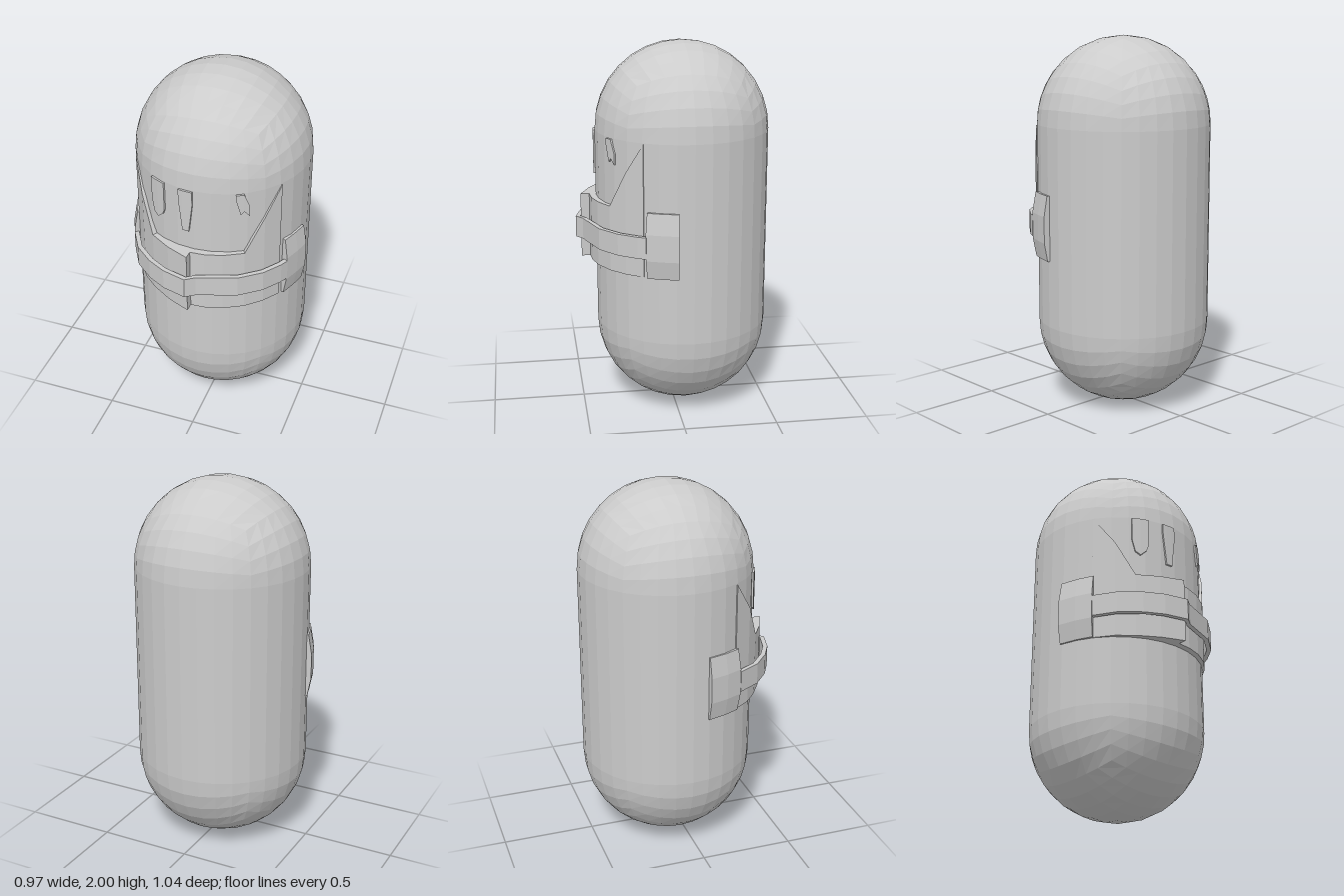
import * as THREE from 'three';

const R = 0.465, CX = -0.005, CZ = -0.055;
const material = new THREE.MeshStandardMaterial({ color: 0xcccccc, flatShading: true });

// A point pushed outward from the body's axis by d
function outward(x, z, d, y) {
  const l = Math.hypot(x - CX, z - CZ);
  return [x + (x - CX) / l * d, y, z + (z - CZ) / l * d];
}

// Closed solid through sections that run from -x past the front to +x
// Each section is a loop: bottom inside, bottom outside, ..., top inside
function loft(name, sections) {
  const n = sections[0].length, pos = sections.flat(2), index = [];
  for (let i = 0; i < sections.length - 1; i++) {
    for (let k = 0; k < n; k++) {
      const j = (k + 1) % n, a = i * n, b = a + n;
      index.push(a + k, b + k, b + j, a + k, b + j, a + j);
    }
  }
  const e = (sections.length - 1) * n;
  for (let k = 1; k < n - 1; k++) {
    index.push(0, k, k + 1, e, e + k + 1, e + k);
  }
  const g = new THREE.BufferGeometry();
  g.setAttribute('position', new THREE.Float32BufferAttribute(pos, 3));
  g.setIndex(index);
  g.computeVertexNormals();
  const mesh = new THREE.Mesh(g, material);
  mesh.name = name;
  return mesh;
}

// Section with a [offset, y] profile at one spot of a path
const section = (x, z, profile) => profile.map(([d, y]) => outward(x, z, d, y));

// Capsule with caps made from a cube bent into a sphere
function makeBody() {
  const g = new THREE.BoxGeometry(1, 1, 1, 8, 9, 8);
  const p = g.attributes.position, v = new THREE.Vector3();
  const bend = (t) => Math.tan(t * Math.PI / 4);
  for (let i = 0; i < p.count; i++) {
    const level = Math.round((p.getY(i) + 0.5) * 9);
    const upper = level >= 5;
    const t = -1 + (upper ? level - 1 : level) / 4;
    v.set(bend(p.getX(i) * 2), bend(t), bend(p.getZ(i) * 2)).setLength(R);
    p.setXYZ(i, v.x + CX, v.y + (upper ? 2 - R : 0.005 + R), v.z + CZ);
  }
  g.computeVertexNormals();
  const mesh = new THREE.Mesh(g, material);
  mesh.name = 'body';
  return mesh;
}

// Wrap panel: columns of [x, z, top height], reaching back into the body
function makePanel(name, columns) {
  return loft(name, columns.map(([x, z, top]) => {
    const inner = R - 0.03 - Math.hypot(x - CX, z - CZ);
    return section(x, z, [[inner, 0.83], [0, 0.83], [0, top], [inner, top]]);
  }));
}

// Thin strand on the face: columns of [x, bottom, top]
function makeStrand(name, columns) {
  return loft(name, columns.map(([x, low, top]) => {
    const z = CZ + Math.sqrt(R * R - (x - CX) ** 2);
    return section(x, z, [[-0.02, low], [0.009, low], [0.009, top], [-0.02, top]]);
  }));
}

export function createModel() {
  const group = new THREE.Group();
  group.name = 'wrappedCapsule';
  group.add(makeBody());

  // Two overlapping wrap panels, rising at the sides around the face
  group.add(makePanel('rightPanel', [
    [-0.4, 0.2, 1.53], [-0.33, 0.3, 1.37], [-0.25, 0.37, 1.18], [-0.14, 0.44, 1.18], [-0.018, 0.492, 1.18],
  ]));
  group.add(makePanel('leftPanel', [
    [-0.02, 0.445, 1.18], [0.06, 0.44, 1.18], [0.15, 0.415, 1.18], [0.25, 0.36, 1.18], [0.33, 0.285, 1.37], [0.39, 0.2, 1.53],
  ]));

  // Strap around the front
  const strapPath = [
    [-0.4, 0.21], [-0.335, 0.325], [-0.24, 0.408], [-0.145, 0.461], [-0.022, 0.495],
    [0.025, 0.46], [0.22, 0.393], [0.325, 0.31], [0.39, 0.22], [0.41, 0.18],
  ];
  const strapProfile = [[0, 0.94], [0.025, 0.94], [0.025, 1.055], [0, 1.055]];
  group.add(loft('strap', strapPath.map(([x, z]) => section(x, z, strapProfile))));

  // Bulging pads at the ends of the strap
  const padProfile = [[-0.02, 0.83], [0.006, 0.83], [0.025, 0.93], [0.025, 1.07], [0.006, 1.18], [-0.02, 1.18]];
  const rightPad = [[-0.465, 0.03], [-0.437, 0.125], [-0.4, 0.208]];
  const leftPad = [[0.407, 0.182], [0.438, 0.1], [0.46, 0.025]];
  group.add(loft('rightPad', rightPad.map(([x, z]) => section(x, z, padProfile))));
  group.add(loft('leftPad', leftPad.map(([x, z]) => section(x, z, padProfile))));

  // Strands hanging over the face
  group.add(makeStrand('outerRightStrand', [[-0.25, 1.4, 1.53], [-0.235, 1.33, 1.53], [-0.21, 1.31, 1.53], [-0.18, 1.34, 1.53], [-0.17, 1.37, 1.53]]));
  group.add(makeStrand('middleStrand', [[-0.085, 1.47, 1.53], [-0.065, 1.29, 1.53], [-0.03, 1.29, 1.53], [-0.01, 1.45, 1.53]]));
  group.add(makeStrand('leftStrand', [[0.2, 1.5, 1.53], [0.222, 1.41, 1.53], [0.237, 1.43, 1.53], [0.26, 1.4, 1.46]]));
  return group;
}
